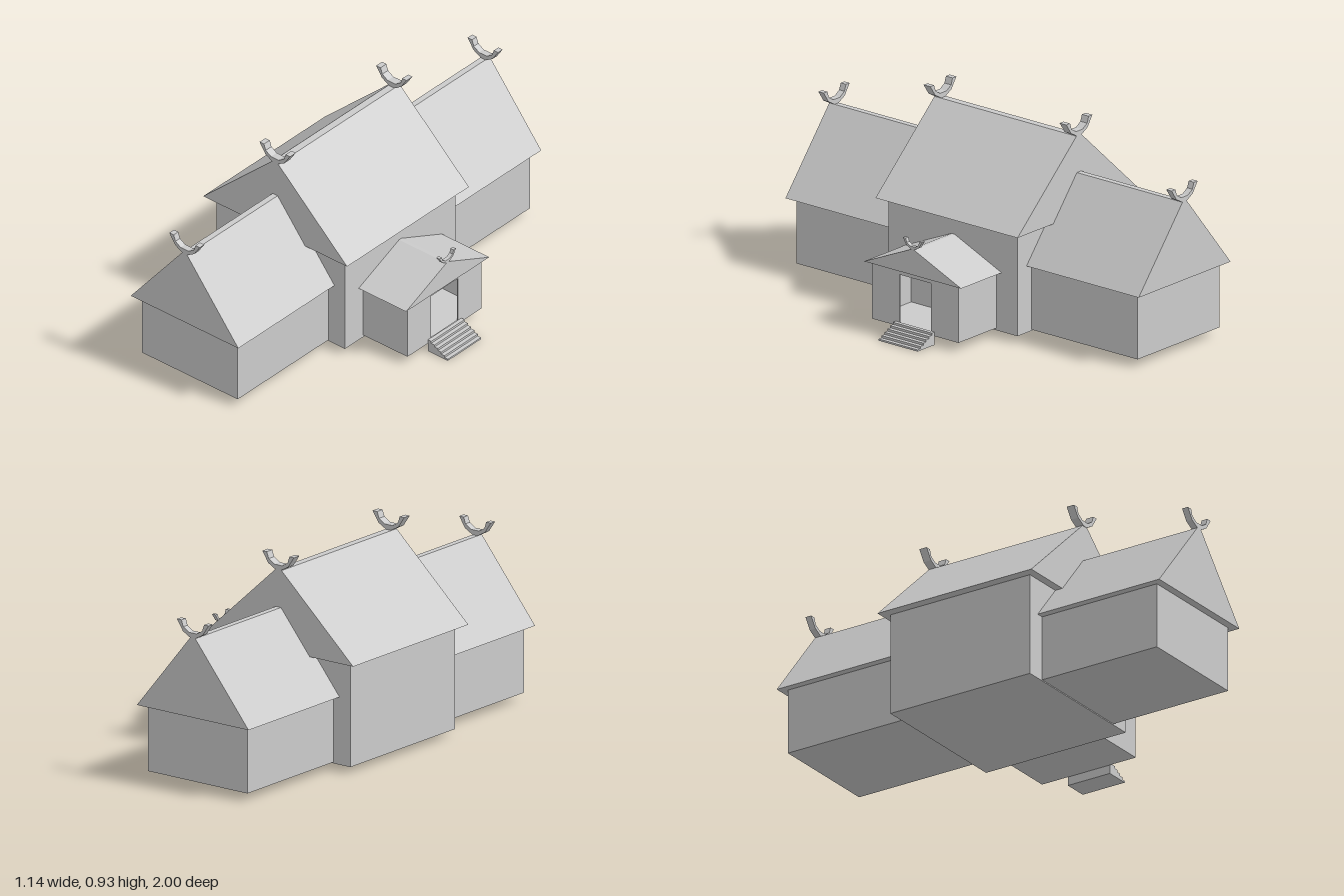
import * as THREE from 'three';

const material = new THREE.MeshStandardMaterial({ color: 0xcccccc, flatShading: true });

// Extrudes an outline of [x, y] points from z0 to z1, with an optional hole
function extrude(name, points, z0, z1, hole) {
  const toVec = (list) => list.map(([x, y]) => new THREE.Vector2(x, y));
  const shape = new THREE.Shape(toVec(points));
  if (hole) shape.holes.push(new THREE.Path(toVec(hole)));
  const geometry = new THREE.ExtrudeGeometry(shape, { depth: z1 - z0, bevelEnabled: false });
  geometry.translate(0, 0, z0);
  const mesh = new THREE.Mesh(geometry, material);
  mesh.name = name;
  return mesh;
}

function box(name, [x0, x1], [y0, y1], [z0, z1]) {
  const mesh = new THREE.Mesh(new THREE.BoxGeometry(x1 - x0, y1 - y0, z1 - z0), material);
  mesh.position.set((x0 + x1) / 2, (y0 + y1) / 2, (z0 + z1) / 2);
  mesh.name = name;
  return mesh;
}

// Gabled roof with a narrow flat ridge, running along z
function roof(name, half, ridge, y0, y1, z0, z1) {
  return extrude(name, [[-half, y0], [half, y0], [ridge, y1], [-ridge, y1]], z0, z1);
}

// Horn-shaped gable finial, standing on y
function finial(name, scale, y, z0, z1) {
  const side = [[0.012, 0], [0.054, 0.023], [0.087, 0.072], [0.062, 0.072], [0.052, 0.043], [0.022, 0.024]];
  const outline = [...side, ...side.map(([x, h]) => [-x, h]).reverse()];
  return extrude(name, outline.map(([x, h]) => [x * scale, y + h * scale]), z0, z1);
}

export function createModel() {
  const model = new THREE.Group();
  model.name = 'longhouse';

  // Main hall and its two wings share one ridge line
  const house = new THREE.Group();
  house.name = 'house';
  house.position.x = -0.163;
  model.add(house);

  house.add(
    box('hallWalls', [-0.367, 0.367], [0.03, 0.5], [-0.365, 0.365]),
    roof('hallRoof', 0.411, 0.017, 0.5, 0.86, -0.402, 0.402),
  );

  for (const [label, s] of [['front', 1], ['back', -1]]) {
    const span = (a, b) => (s > 0 ? [a, b] : [-b, -a]);
    house.add(
      box(label + 'WingWalls', [-0.273, 0.273], [0.035, 0.335], span(0.36, 0.965)),
      roof(label + 'WingRoof', 0.307, 0.014, 0.335, 0.693, ...span(0.36, 1)),
      finial(label + 'HallFinial', 1, 0.859, ...span(0.366, 0.404)),
      finial(label + 'WingFinial', 1, 0.692, ...span(0.97, 1)),
    );
  }

  // Hollow entrance porch, built facing z and turned to face +x
  const porch = new THREE.Group();
  porch.name = 'porch';
  porch.rotation.y = Math.PI / 2;
  const door = [[-0.09, 0.055], [-0.09, 0.277], [0.09, 0.277], [0.09, 0.055]];
  porch.add(
    extrude('porchFront', [[-0.245, 0.04], [0.245, 0.04], [0.245, 0.3], [-0.245, 0.3]], 0.449, 0.457, door),
    box('porchFloor', [-0.245, 0.245], [0.04, 0.05], [0.2, 0.45]),
    roof('porchRoof', 0.275, 0.008, 0.3, 0.416, 0.2, 0.475),
    finial('porchFinial', 0.63, 0.415, 0.457, 0.475),
  );
  for (const s of [-1, 1]) {
    const x = s > 0 ? [0.237, 0.245] : [-0.245, -0.237];
    porch.add(box(s > 0 ? 'porchRightWall' : 'porchLeftWall', x, [0.04, 0.3], [0.2, 0.45]));
  }
  model.add(porch);

  // Flight of steps
  const count = 6, tread = 0.019, rise = 0.0102;
  const profile = [[0.457, 0]];
  for (let i = count - 1; i >= 0; i--) {
    const x = 0.457 + i * tread, y = 0.059 - i * rise;
    profile.push([x + tread, i === count - 1 ? 0 : y - rise], [x + tread, y]);
  }
  profile.push([0.457, 0.059]);
  model.add(extrude('steps', profile, -0.11, 0.11));

  return model;
}
